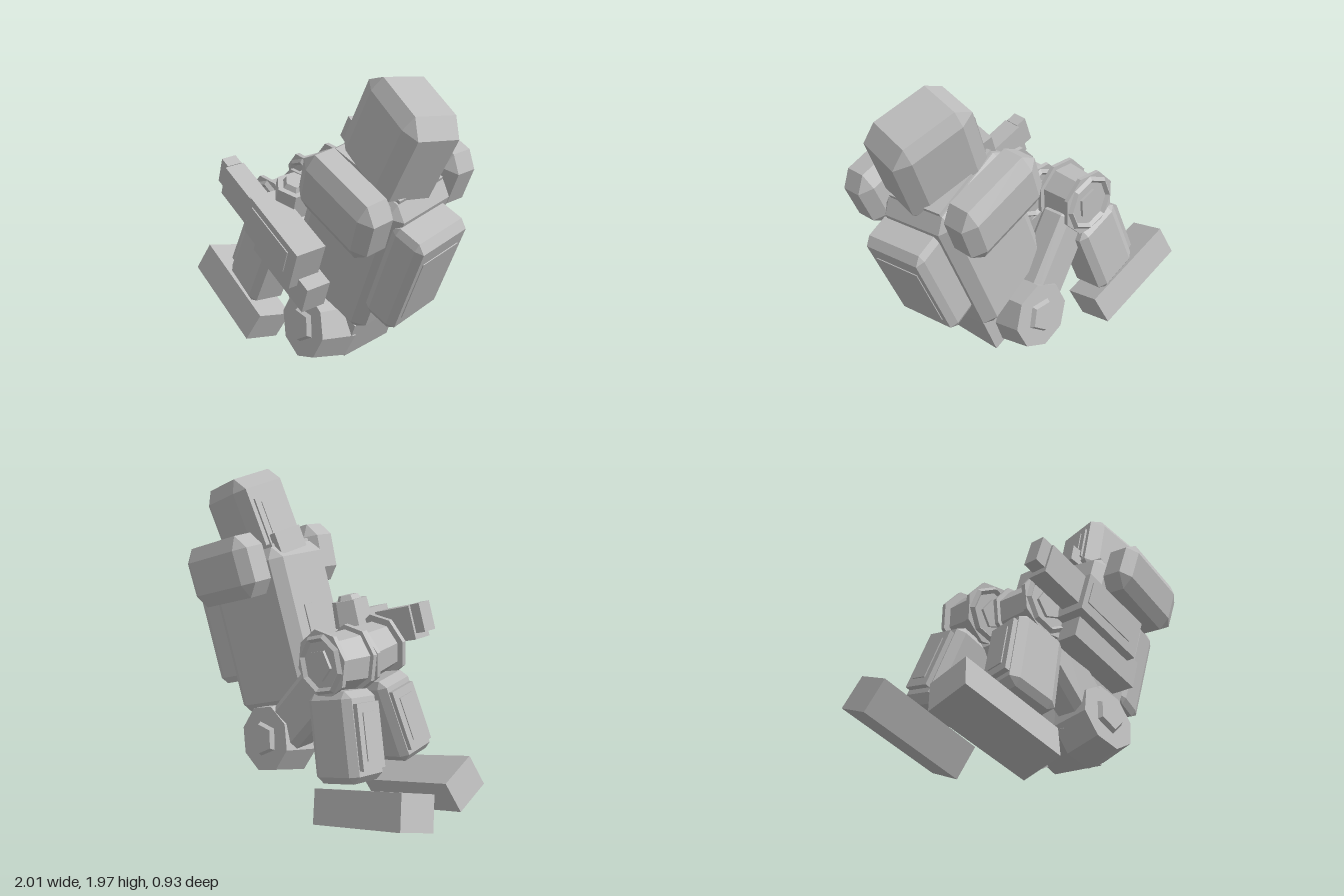
import * as THREE from 'three';
import { ConvexGeometry } from 'three/addons/geometries/ConvexGeometry.js';

const LEAN = -0.35; // the whole figure leans back in the xy plane

// Box with its edges and corners cut off by cx, cy, cz along each axis
function chamferBox(w, h, d, cx, cy = cx, cz = cx) {
  const pts = [];
  const [x, y, z] = [w / 2, h / 2, d / 2];
  for (const i of [-1, 1]) for (const j of [-1, 1]) for (const k of [-1, 1]) {
    pts.push(new THREE.Vector3(i * x, j * (y - cy), k * (z - cz)));
    pts.push(new THREE.Vector3(i * (x - cx), j * y, k * (z - cz)));
    pts.push(new THREE.Vector3(i * (x - cx), j * (y - cy), k * z));
  }
  return new ConvexGeometry(pts);
}

export function createModel() {
  const root = new THREE.Group();
  const grey = new THREE.MeshStandardMaterial({ color: 0xbcbcbc, flatShading: true });
  grey.name = 'armourGrey';

  // A part group, turned by lean (z), then yaw (y), then roll (x)
  function part(name, pos, lean = LEAN, yaw = 0, roll = 0) {
    const g = new THREE.Group();
    g.name = name;
    g.position.set(...pos);
    g.rotation.set(roll, yaw, lean, 'ZYX');
    root.add(g);
    return g;
  }
  function add(group, name, geometry, pos = [0, 0, 0], rot = [0, 0, 0]) {
    const m = new THREE.Mesh(geometry, grey);
    m.name = name;
    m.position.set(...pos);
    m.rotation.set(...rot);
    group.add(m);
  }
  const box = (w, h, d) => new THREE.BoxGeometry(w, h, d);
  // Prism along z
  const prism = (r0, r1, len, sides) =>
    new THREE.CylinderGeometry(r1, r0, len, sides).rotateX(Math.PI / 2);

  // Torso with chest hatch and collar
  const torso = part('torso', [0.41, 1.03, -0.02], LEAN, 0.18);
  add(torso, 'chest', chamferBox(0.6, 0.96, 0.46, 0.07, 0.07, 0.05));
  add(torso, 'chestHatch', box(0.012, 0.26, 0.2), [-0.302, -0.02, 0]);
  add(torso, 'collar', box(0.46, 0.06, 0.34), [0, 0.47, 0]);

  // Backpack with a thin lid
  add(torso, 'backpack', chamferBox(0.22, 0.65, 0.38, 0.045, 0.04, 0.02), [0.365, 0.06, 0.03]);
  add(torso, 'backpackLid', box(0.008, 0.42, 0.28), [0.476, 0.05, 0.03]);

  // Head with visor and chin guard
  const head = part('head', [0.65, 1.655, -0.02], LEAN, -0.13, -0.13);
  add(head, 'skull', chamferBox(0.49, 0.54, 0.33, 0.09, 0.08, 0.04));
  add(head, 'visorFrame', box(0.05, 0.28, 0.2), [-0.235, -0.02, 0]);
  add(head, 'visor', box(0.008, 0.2, 0.13), [-0.263, -0.01, 0]);
  add(head, 'chinGuard', box(0.12, 0.13, 0.18), [-0.26, -0.17, 0]);

  // Shoulders
  for (const [name, pos, roll] of [
    ['leftShoulder', [0.63, 1.385, 0.305], 0.06],
    ['rightShoulder', [0.5, 1.43, -0.345], -0.04],
  ]) {
    add(part(name, pos, -0.33, 0.06, roll), 'pad', chamferBox(0.56, 0.36, 0.21, 0.075, 0.08, 0.045));
  }

  // Single forearm with side panel, under-guard, fist and elbow knob
  const arm = part('forearm', [0.155, 0.985, 0.362], -0.34);
  add(arm, 'forearmBox', box(0.48, 0.26, 0.185));
  add(arm, 'forearmPanel', box(0.37, 0.15, 0.008), [-0.02, 0.01, 0.095]);
  add(part('underGuard', [0.165, 0.8, 0.325], -0.33), 'guard', box(0.52, 0.18, 0.15));
  const fist = part('fist', [-0.25, 1.125, 0.38], -0.34);
  add(fist, 'wrist', box(0.28, 0.2, 0.12), [0.03, 0, 0]);
  add(fist, 'knuckles', box(0.07, 0.17, 0.09), [-0.145, 0.02, 0]);
  const knob = part('elbowKnob', [0.04, 1.16, 0.22], -0.3);
  add(knob, 'knob', new THREE.CylinderGeometry(0.11, 0.12, 0.16, 6));
  add(knob, 'knobCap', new THREE.CylinderGeometry(0.06, 0.08, 0.04, 6), [0, 0.09, 0]);

  // Pelvis
  add(part('pelvis', [0.27, 0.435, -0.03], LEAN, 0.08), 'pelvisBox', box(0.38, 0.28, 0.34));

  // Legs: splayed outwards, the right one a little further forward
  for (const s of [1, -1]) {
    const side = s > 0 ? 'left' : 'right';
    const dx = s > 0 ? 0 : -0.09;
    const z = (v) => -0.03 + s * v;
    const facing = [0, s > 0 ? 0 : Math.PI, 0];

    // Hip joint: tapered octagon with a five-sided cap
    const hx = 0.26 + dx;
    const hip = part(side + 'Hip', [hx, s > 0 ? 0.42 : 0.45, z(0.235)], 0.05, 0, -s * 0.22);
    add(hip, 'hipDrum', prism(0.22, 0.2, 0.22, 8), [0, 0, 0], facing);
    add(hip, 'hipCap', prism(0.11, 0.09, 0.03, 5), [0, 0, s * 0.12], facing);

    // Thigh from hip up to knee
    const kx = -0.18 + dx;
    const ky = s > 0 ? 0.99 : 1.03;
    const thigh = part(side + 'Thigh', [(hx + kx) / 2, 0.7, z(0.185)],
      Math.atan2(hx - kx, 0.56), 0, -s * 0.1);
    add(thigh, 'thighBox', chamferBox(0.28, 0.6, 0.2, 0.04));

    // Knee: octagonal spool with flanges and rings
    const knee = part(side + 'Knee', [kx, ky, z(0.17)], LEAN, 0, -s * 0.08);
    add(knee, 'kneeDrum', prism(0.17, 0.15, 0.24, 8), [0, 0, 0], facing);
    for (const e of [-1, 1]) {
      add(knee, 'kneeFlange', prism(0.195, 0.195, 0.025, 8), [0, 0, e * 0.108]);
      const ring = new THREE.TorusGeometry(0.155, 0.02, 4, 8).rotateZ(Math.PI / 8);
      add(knee, 'kneeRing', ring, [0, 0, e * 0.12]);
      add(knee, 'kneeCap', prism(0.09, 0.09, 0.02, 5), [0, 0, e * 0.127]);
    }

    // Shin with a raised front plate
    const shin = part(side + 'Shin', [-0.3 + dx * 1.15, 0.6 + (s < 0 ? 0.045 : 0), z(0.235)],
      -0.31, -s * 0.06, -s * 0.15);
    add(shin, 'shinBox', chamferBox(0.33, 0.5, 0.24, 0.05, 0.04, 0.03));
    add(shin, 'shinPlate', box(0.05, 0.36, 0.17), [-0.17, 0, 0]);
    add(shin, 'shinPanel', box(0.008, 0.26, 0.1), [-0.198, 0, 0]);

    // Foot
    const foot = part(side + 'Foot', [-0.54 + dx * 1.2, 0.24 + (s < 0 ? 0.06 : 0), z(0.272)],
      -0.32, -s * 0.02, -s * 0.36);
    add(foot, 'footBox', box(0.67, 0.2, 0.25));
  }
  return root;
}
